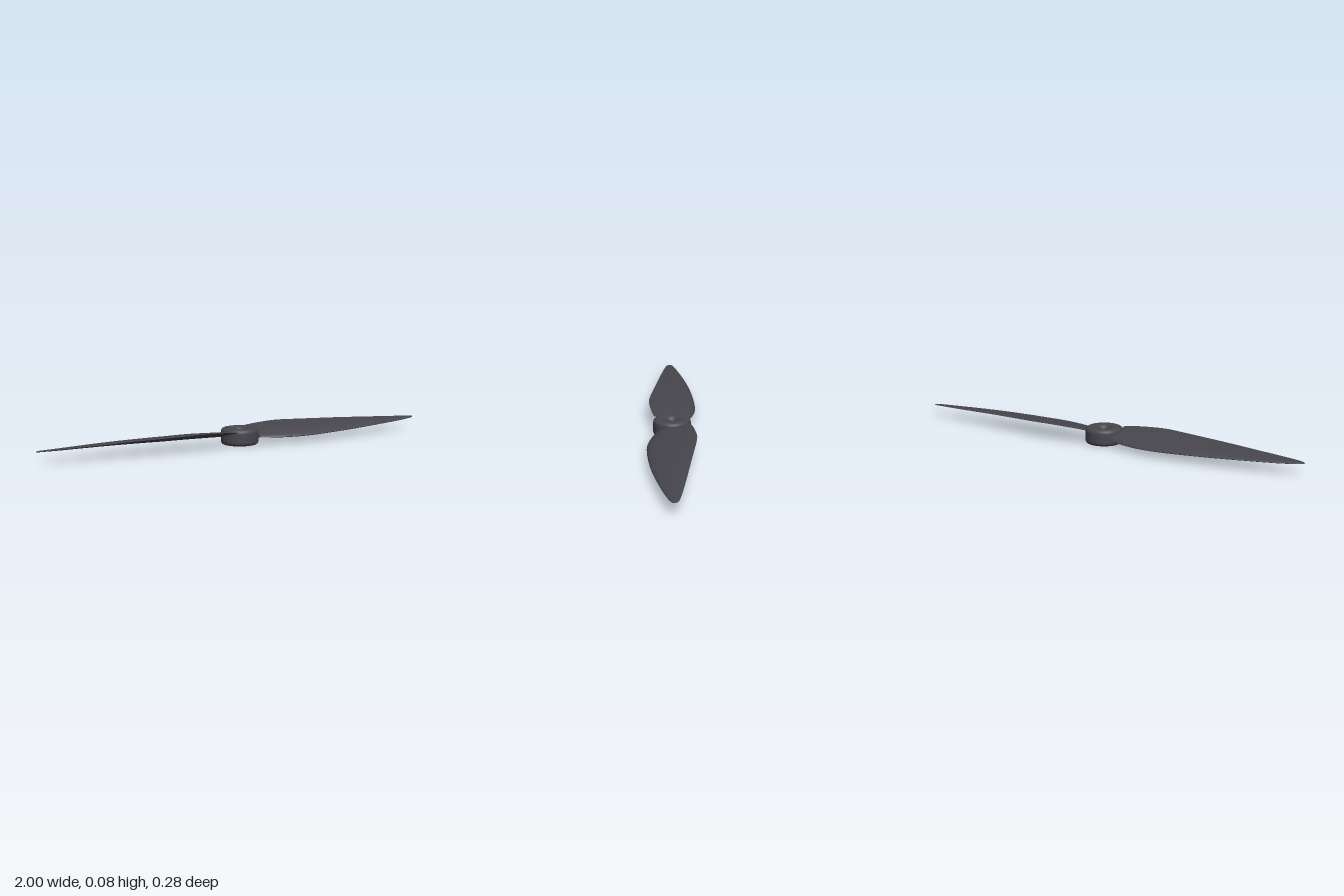
import * as THREE from 'three';
import { toCreasedNormals } from 'three/addons/utils/BufferGeometryUtils.js';

const V = (x, y, z) => new THREE.Vector3(x, y, z);

// Blade stations: x, trailing y, trailing z, leading y, leading z
const STATIONS = [
  [0.066, 0.069, -0.08, 0.034, 0.072],
  [0.11, 0.073, -0.085, 0.033, 0.09],
  [0.19, 0.077, -0.09, 0.032, 0.117],
  [0.27, 0.079, -0.09, 0.032, 0.132],
  [0.35, 0.077, -0.079, 0.033, 0.137],
  [0.46, 0.074, -0.058, 0.036, 0.138],
  [0.60, 0.07, -0.031, 0.04, 0.133],
  [0.75, 0.064, -0.002, 0.044, 0.119],
  [0.88, 0.059, 0.024, 0.047, 0.102],
  [0.96, 0.056, 0.042, 0.05, 0.088],
  [0.99, 0.054, 0.052, 0.052, 0.079],
  [1.0, 0.053, 0.063, 0.053, 0.07],
];

// Lofts a cambered airfoil between the trailing and leading edge curves
function bladeGeometry(steps = 66, half = 14) {
  const trail = new THREE.CatmullRomCurve3(STATIONS.map(s => V(s[0], s[1], s[2])), false, 'catmullrom');
  const lead = new THREE.CatmullRomCurve3(STATIONS.map(s => V(s[0], s[3], s[4])), false, 'catmullrom');
  const n = half * 2, pos = [], idx = [];
  for (let i = 0; i <= steps; i++) {
    const a = lead.getPoint(i / steps), b = trail.getPoint(i / steps);
    const thick = 0.003 + 0.1 * a.distanceTo(b);
    for (let j = 0; j < n; j++) {
      // over the top from leading to trailing edge, back underneath
      const angle = (j / n) * Math.PI * 2;
      const c = (1 - Math.cos(angle)) / 2;
      const t = thick * (1.485 * Math.sqrt(c) - 0.63 * c - 1.758 * c ** 2 + 1.422 * c ** 3 - 0.519 * c ** 4);
      const p = a.clone().lerp(b, c);
      pos.push(p.x, p.y + t * (j <= half ? 1.15 : -0.75), p.z);
    }
  }
  for (let i = 0; i < steps; i++) {
    for (let j = 0; j < n; j++) {
      const k = (j + 1) % n, p = i * n, q = p + n;
      idx.push(p + j, q + j, p + k, p + k, q + j, q + k);
    }
  }
  // root and tip caps
  const e = steps * n;
  for (let j = 1; j < n - 1; j++) idx.push(0, j, j + 1, e, e + j + 1, e + j);
  const g = new THREE.BufferGeometry();
  g.setAttribute('position', new THREE.Float32BufferAttribute(pos, 3));
  g.setIndex(idx);
  return toCreasedNormals(g, 0.8);
}

// Rounded ring with a flared bore
function hubGeometry() {
  const s = new THREE.Shape();
  s.moveTo(0.087, 0.038);
  s.lineTo(0.087, 0.056);
  s.quadraticCurveTo(0.087, 0.078, 0.062, 0.078);
  s.lineTo(0.05, 0.078);
  s.quadraticCurveTo(0.024, 0.076, 0.022, 0.05);
  s.lineTo(0.022, 0.028);
  s.quadraticCurveTo(0.024, 0.002, 0.05, 0);
  s.lineTo(0.066, 0);
  s.quadraticCurveTo(0.087, 0, 0.087, 0.02);
  s.lineTo(0.087, 0.038);
  return new THREE.LatheGeometry(s.getPoints(8), 64);
}

export function createModel() {
  const model = new THREE.Group();
  model.name = 'propeller';
  const plastic = new THREE.MeshStandardMaterial({ color: 0x47464d });
  plastic.name = 'darkGreyPlastic';

  const hub = new THREE.Mesh(hubGeometry(), plastic);
  hub.name = 'hub';
  model.add(hub);

  // Two identical blades, half a turn apart
  const geometry = bladeGeometry();
  ['leftBlade', 'rightBlade'].forEach((name, i) => {
    const blade = new THREE.Mesh(geometry, plastic);
    blade.name = name;
    blade.rotation.y = i * Math.PI;
    model.add(blade);
  });
  return model;
}
